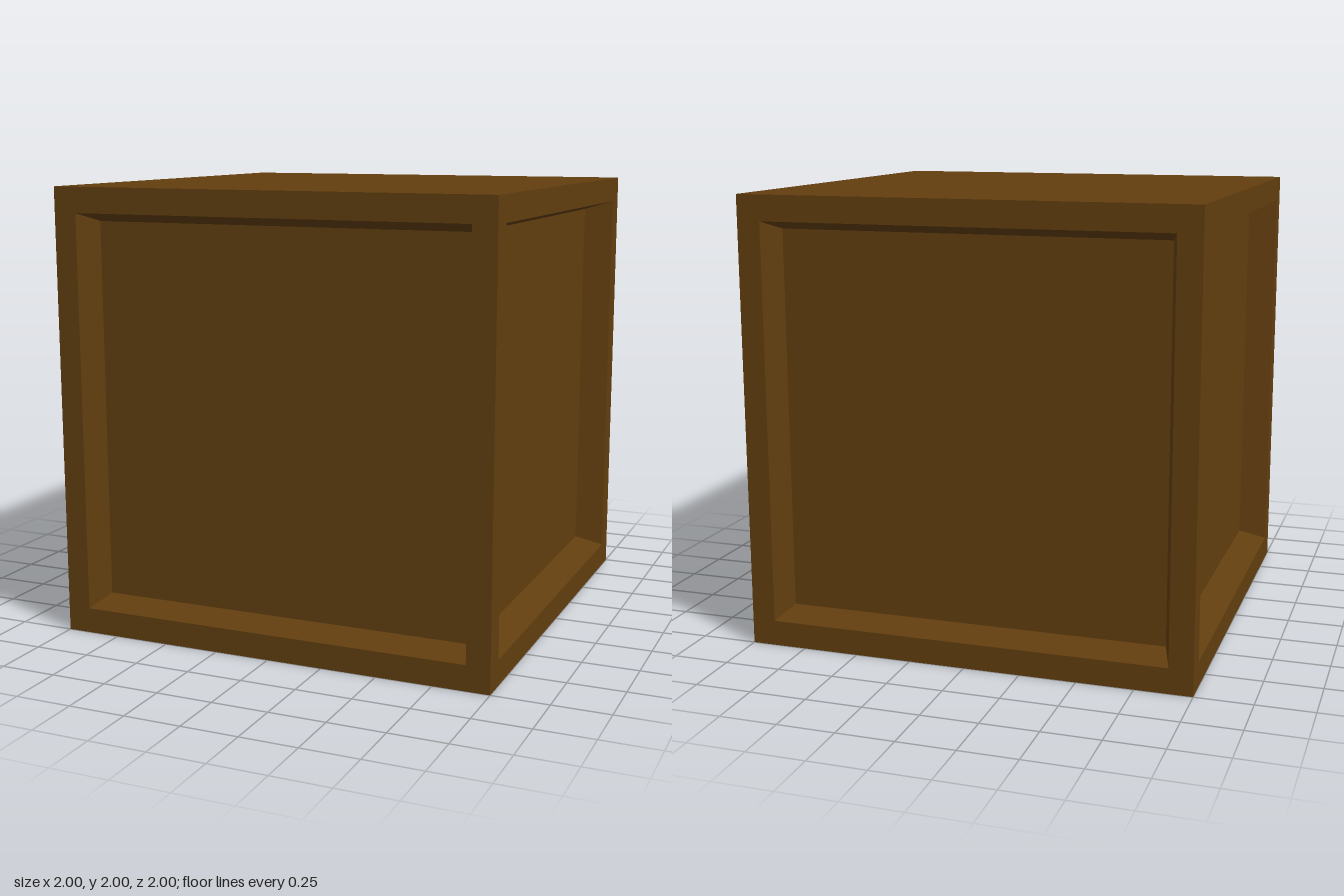
import * as THREE from 'three';

const DEPTH = 0.13;

// Rectangle corners, counter-clockwise seen from +z
const rect = (hx, hy, z) => [[-hx, -hy, z], [hx, -hy, z], [hx, hy, z], [-hx, hy, z]];

function quads(list) {
  const pos = list.flatMap(([a, b, c, d]) => [a, b, c, a, c, d].flat());
  const geo = new THREE.BufferGeometry();
  geo.setAttribute('position', new THREE.Float32BufferAttribute(pos, 3));
  geo.computeVertexNormals();
  return geo;
}

// Four quads joining an outer rectangle to an inner one
const band = (outer, inner) => quads(outer.map((p, i) => {
  const j = (i + 1) % 4;
  return [p, outer[j], inner[j], inner[i]];
}));

export function createModel() {
  const model = new THREE.Group();
  model.name = 'crate';
  const wood = new THREE.MeshStandardMaterial({ color: 0x623e0f });
  wood.name = 'brown wood';

  const add = (parent, name, geo) => {
    const mesh = new THREE.Mesh(geo, wood);
    mesh.name = name;
    parent.add(mesh);
    return mesh;
  };

  // Four identical sides: flat frame, sloped lip and recessed panel
  const edge = rect(1, 1, 1);
  const opening = rect(0.895, 0.8875, 1);
  const inset = rect(0.855, 0.8475, 1 - DEPTH);
  const frameGeo = band(edge, opening);
  const lipGeo = band(opening, inset);
  const panelGeo = quads([inset]);
  ['front', 'left', 'back', 'right'].forEach((side, i) => {
    const group = new THREE.Group();
    group.name = side + 'Side';
    add(group, 'frame', frameGeo);
    add(group, 'recessLip', lipGeo);
    add(group, 'panel', panelGeo);
    group.position.y = 1;
    group.rotation.y = i * Math.PI / 2;
    model.add(group);
  });

  // Plain top and bottom
  const lid = add(model, 'top', new THREE.PlaneGeometry(2, 2));
  lid.rotation.x = -Math.PI / 2;
  lid.position.y = 2;
  const base = add(model, 'bottom', new THREE.PlaneGeometry(2, 2));
  base.rotation.x = Math.PI / 2;

  return model;
}
